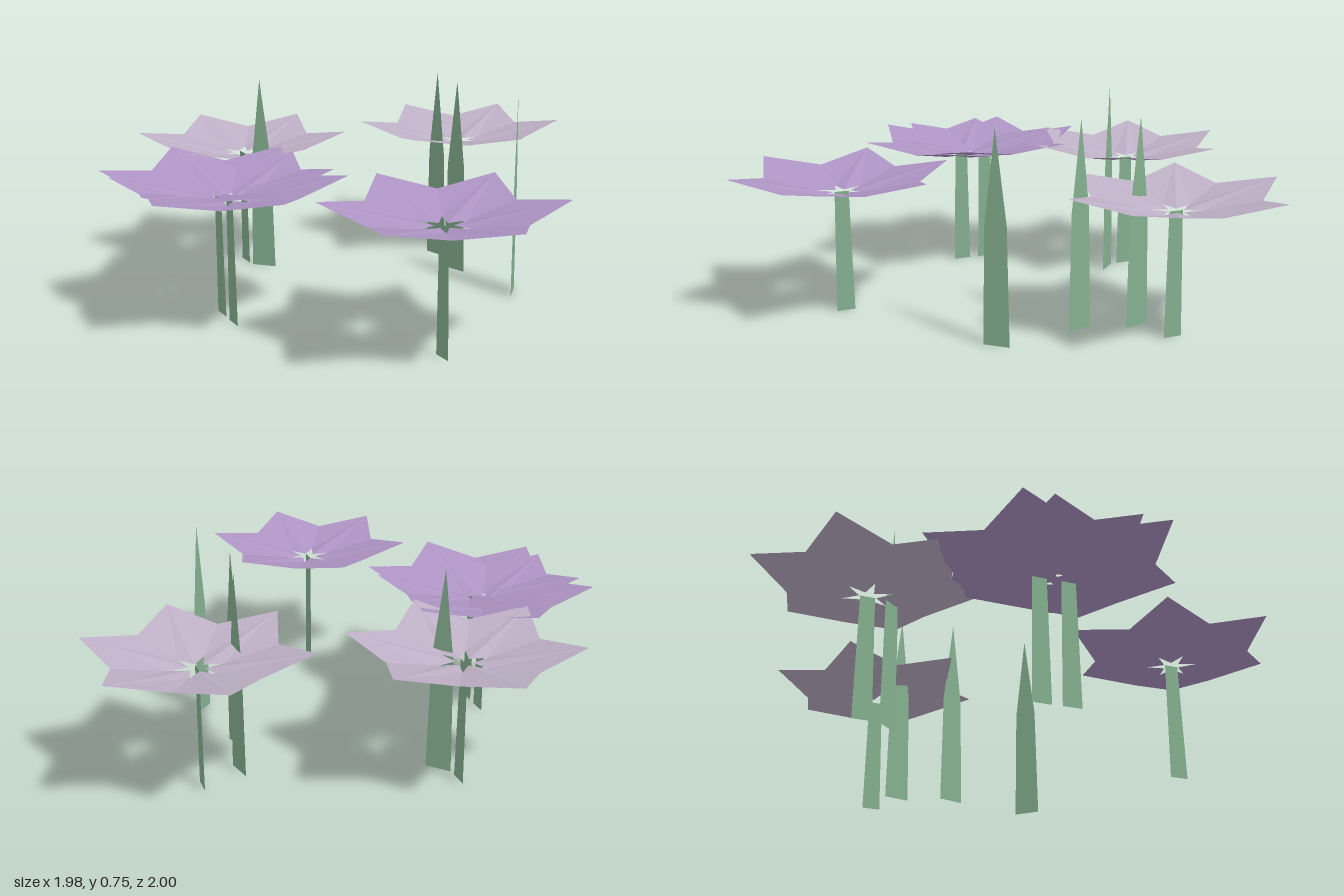
import * as THREE from 'three';

const makeMaterial = (name, color) => {
  const m = new THREE.MeshStandardMaterial({ color, side: THREE.DoubleSide, flatShading: true });
  m.name = name;
  return m;
};

// Six creased petals around a small star-shaped opening, cupped upwards
function flowerGeometry() {
  const tilt = THREE.MathUtils.degToRad(14.8);
  const step = Math.PI / 3;
  const at = (angle, r, y) => [Math.cos(angle) * r, y, Math.sin(angle) * r];
  const points = [];
  for (let i = 0; i < 6; i++) {
    const mid = tilt + i * step;
    const inner = at(mid, 0.03, 0.447);
    const tip = at(mid, 0.403, 0.527);
    for (const side of [-1, 1]) {
      const a = mid + side * step / 2;
      const notch = at(a, 0.09, 0.449);
      const valley = at(a, 0.285, 0.489);
      const tris = side < 0
        ? [inner, tip, notch, notch, tip, valley]
        : [inner, notch, tip, notch, valley, tip];
      points.push(...tris.flat());
    }
  }
  const g = new THREE.BufferGeometry();
  g.setAttribute('position', new THREE.Float32BufferAttribute(points, 3));
  g.computeVertexNormals();
  return g;
}

// Flat upright shape, mirrored from half-widths listed as [halfWidth, y]
function uprightGeometry(profile) {
  const right = profile.map(([w, y]) => new THREE.Vector2(w, y));
  const left = profile.filter(([w]) => w > 0).reverse().map(([w, y]) => new THREE.Vector2(-w, y));
  return new THREE.ShapeGeometry(new THREE.Shape([...right, ...left]));
}

export function createModel() {
  const group = new THREE.Group();
  const purple = makeMaterial('purple petals', 0xae94c4);
  const pale = makeMaterial('pale petals', 0xbeb0c6);
  const green = makeMaterial('leaf green', 0x85b08f);

  const flower = flowerGeometry();
  const stem = uprightGeometry([[0.034, 0], [0.026, 0.447]]);
  const blade = uprightGeometry([[0.048, 0], [0.04, 0.42], [0, 0.747]]);

  const add = (name, geometry, material, x, z, degrees = 0) => {
    const mesh = new THREE.Mesh(geometry, material);
    mesh.name = name;
    mesh.position.set(x, 0, z);
    mesh.rotation.y = -THREE.MathUtils.degToRad(degrees);
    group.add(mesh);
  };

  // Flowers with their flat stems
  const flowers = [
    [-0.127, -0.61, pale], [-0.605, 0.14, pale],
    [0.6, 0.34, purple], [-0.12, 0.61, purple], [-0.218, 0.58, purple],
  ];
  flowers.forEach(([x, z, material], i) => {
    add(`flower${i + 1}`, flower, material, x, z);
    add(`stem${i + 1}`, stem, green, x, z, 15);
  });

  // Tall pointed leaf blades
  const blades = [[-0.505, 0.132, -27], [-0.11, -0.45, 3], [0.072, -0.352, 0], [0.397, -0.3, 60]];
  blades.forEach(([x, z, degrees], i) => add(`leafBlade${i + 1}`, blade, green, x, z, degrees));

  return group;
}
